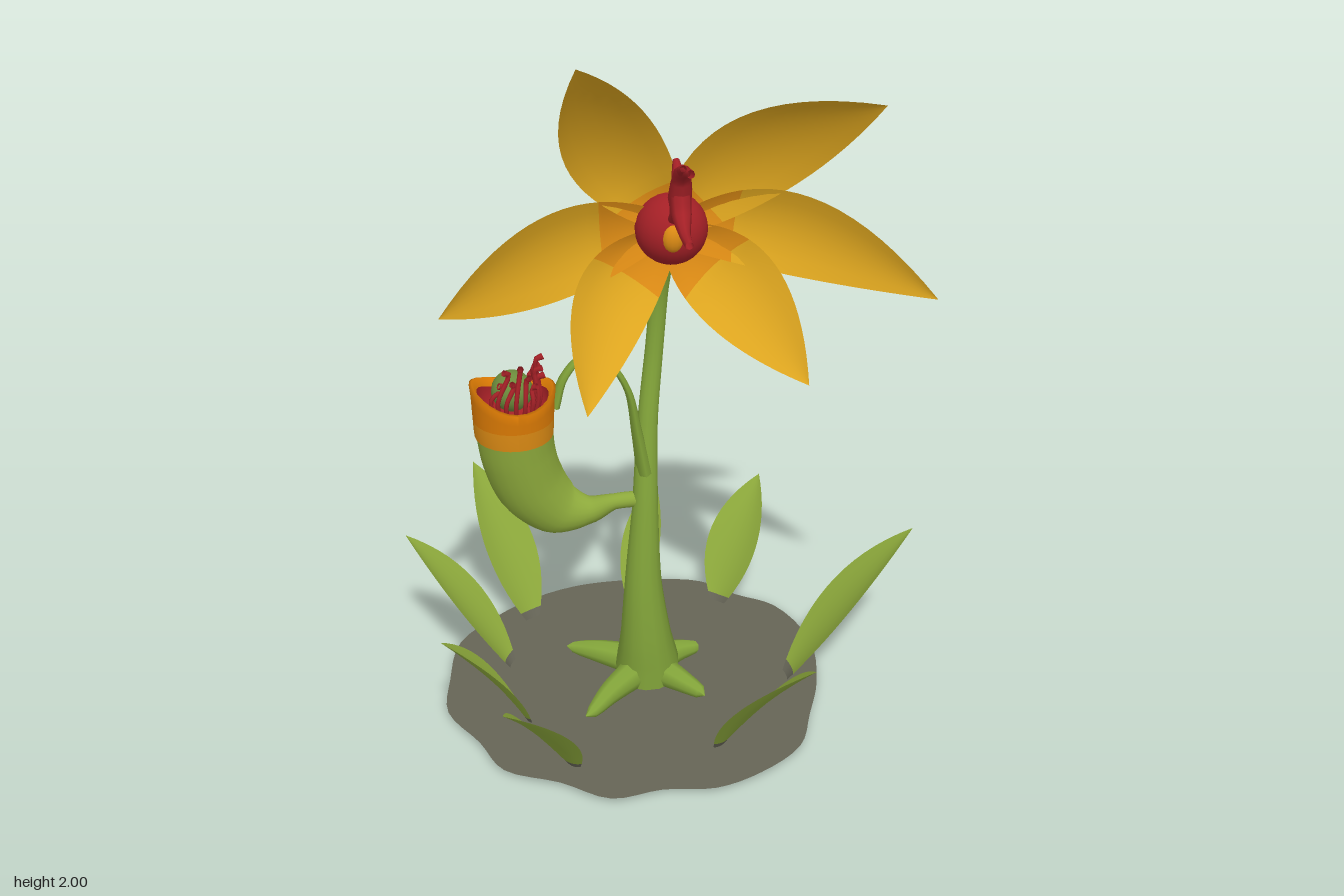
import * as THREE from 'three';

const mat = (name, color) => {
  const m = new THREE.MeshStandardMaterial({ color, side: THREE.DoubleSide });
  m.name = name;
  return m;
};
const V = (p) => new THREE.Vector3(...p);

export function createModel() {
  const model = new THREE.Group();
  model.name = 'pitcherFlower';
  const yellow = mat('petalYellow', 0xdea61f);
  const orange = mat('rimOrange', 0xde7c04);
  const amber = mat('amber', 0xdb8a14);
  const red = mat('deepRed', 0xa42026);
  const stemGreen = mat('stemGreen', 0x83a53a);
  const leafGreen = mat('leafGreen', 0x8ca83b);
  const budGreen = mat('budGreen', 0x6c8c3c);
  const earth = mat('earthGrey', 0x656456);

  const add = (name, geometry, material, parent = model) => {
    const mesh = new THREE.Mesh(geometry, material);
    mesh.name = name;
    parent.add(mesh);
    return mesh;
  };
  const group = (name) => {
    const g = new THREE.Group();
    g.name = name;
    model.add(g);
    return g;
  };

  // Tube along a curve, with one radius per control point
  const taperedTube = (points, radii, segments = 24, sides = 12) => {
    const curve = new THREE.CatmullRomCurve3(points.map(V));
    const geo = new THREE.TubeGeometry(curve, segments, 1, sides);
    const pos = geo.attributes.position, v = new THREE.Vector3();
    for (let i = 0; i <= segments; i++) {
      const t = curve.getUtoTmapping(i / segments) * (radii.length - 1);
      const k = Math.min(Math.floor(t), radii.length - 2);
      const r = THREE.MathUtils.lerp(radii[k], radii[k + 1], t - k);
      const c = curve.getPointAt(i / segments);
      for (let j = 0; j <= sides; j++) {
        const n = i * (sides + 1) + j;
        v.fromBufferAttribute(pos, n).sub(c).multiplyScalar(r).add(c);
        pos.setXYZ(n, v.x, v.y, v.z);
      }
    }
    return geo;
  };

  // Pointed blade between two points; bow bends the midrib, cup lifts the edges
  const blade = ({ base, tip, side, half, bow, cup, root, t0 = 0, t1 = 1 }) => {
    const rows = 14, cols = 6, pts = [], index = [];
    for (let i = 0; i <= rows; i++) {
      const t = t0 + (t1 - t0) * i / rows;
      const w = half * (1 - t) * (root + (4 - 2 * root) * t);
      for (let j = 0; j <= cols; j++) {
        const u = j / cols * 2 - 1;
        const p = base.clone().lerp(tip, t)
          .addScaledVector(bow, 4 * t * (1 - t))
          .addScaledVector(side, u * w)
          .addScaledVector(cup, u * u * w / half);
        pts.push(p.x, p.y, p.z);
        if (i < rows && j < cols) {
          const a = i * (cols + 1) + j, b = a + cols + 1;
          index.push(a, a + 1, b, a + 1, b + 1, b);
        }
      }
    }
    const geo = new THREE.BufferGeometry();
    geo.setAttribute('position', new THREE.Float32BufferAttribute(pts, 3));
    geo.setIndex(index);
    geo.computeVertexNormals();
    return geo;
  };

  // Uneven patch of ground
  const outline = [[-0.15, -0.51], [0.05, -0.5], [0.2, -0.46], [0.29, -0.37], [0.39, -0.29], [0.45, -0.1],
    [0.42, 0.1], [0.36, 0.25], [0.3, 0.38], [0.17, 0.47], [0.04, 0.51], [-0.1, 0.49], [-0.24, 0.5],
    [-0.36, 0.41], [-0.5, 0.33], [-0.55, 0.2], [-0.62, 0.05], [-0.6, -0.1], [-0.55, -0.28], [-0.42, -0.4], [-0.3, -0.47]];
  const edge = new THREE.CatmullRomCurve3(outline.map(([x, z]) => new THREE.Vector3(x, -z, 0)), true);
  const patch = new THREE.Shape(edge.getPoints(84).map((p) => new THREE.Vector2(p.x, p.y)));
  const ground = add('ground', new THREE.ShapeGeometry(patch), earth);
  ground.rotation.x = -Math.PI / 2;
  ground.position.y = 0.01;

  // Stem bending forward at the top, closed at the foot
  add('stem', taperedTube(
    [[-0.045, 0, -0.03], [-0.045, 0.06, -0.028], [-0.05, 0.15, -0.025], [-0.055, 0.32, -0.03], [-0.045, 0.55, -0.05],
      [-0.03, 0.8, -0.085], [-0.008, 1.0, -0.107], [0.006, 1.18, -0.1], [0.01, 1.28, -0.066], [0.005, 1.35, -0.005]],
    [0.085, 0.09, 0.072, 0.052, 0.036, 0.028, 0.025, 0.024, 0.026, 0.028], 48, 14), stemGreen);
  const foot = add('stemFoot', new THREE.CircleGeometry(0.085, 14), stemGreen);
  foot.rotation.x = Math.PI / 2;
  foot.position.set(-0.045, 0.001, -0.03);

  // Blunt roots
  const roots = group('roots');
  for (const [x, z] of [[-0.25, -0.19], [0.12, -0.12], [-0.25, 0.15], [0.09, 0.12]]) {
    add('root', taperedTube([[-0.045, 0.045, -0.03], [x * 0.6 - 0.02, 0.035, z * 0.6 - 0.012],
      [x * 0.92, 0.022, z * 0.92], [x, 0.018, z]], [0.05, 0.032, 0.018, 0.002], 12, 8), stemGreen, roots);
  }

  // Ground leaves with earthy feet: base x, z, tip x, y, z, half width
  const leaves = group('leaves');
  for (const [bx, bz, x, y, z, half] of [
    [-0.33, -0.36, -0.46, 0.42, -0.61, 0.08], [-0.02, -0.38, 0.08, 0.33, -0.56, 0.058],
    [0.23, -0.34, 0.39, 0.34, -0.51, 0.08], [0.34, 0.065, 0.69, 0.46, 0.06, 0.083],
    [0.09, 0.34, 0.27, 0.42, 0.61, 0.084], [-0.32, 0.35, -0.52, 0.36, 0.56, 0.078],
    [-0.41, 0.13, -0.64, 0.35, 0.2, 0.064], [-0.42, -0.14, -0.69, 0.4, -0.27, 0.074]]) {
    const base = V([bx, 0.012, bz]), tip = V([x, y, z]);
    const side = V([z - bz, 0, bx - x]).normalize();
    const up = tip.clone().sub(base).cross(side).normalize();
    if (up.y < 0) up.negate();
    const form = { base, tip, side, half, root: 0.3,
      bow: up.clone().multiplyScalar(0.015), cup: up.clone().multiplyScalar(0.02) };
    add('leafFoot', blade({ ...form, t1: 0.05 }), earth, leaves);
    add('leaf', blade({ ...form, t0: 0.05 }), leafGreen, leaves);
  }

  // Hanging pitcher: curved body, banded rim, red lining
  const pitcher = group('pitcher');
  add('pitcherBody', taperedTube(
    [[-0.05, 0.575, -0.055], [-0.13, 0.57, -0.06], [-0.2, 0.55, -0.065], [-0.285, 0.575, -0.06],
      [-0.355, 0.66, -0.045], [-0.39, 0.77, -0.032], [-0.4, 0.86, -0.025]],
    [0.022, 0.022, 0.04, 0.078, 0.095, 0.1, 0.103], 36, 20), leafGreen, pitcher);
  const band = (name, profile, material) => {
    const geo = new THREE.LatheGeometry(profile.map(([r, y]) => new THREE.Vector2(r, y)), 28);
    const p = geo.attributes.position;
    for (let i = 0; i < p.count; i++) { // wavy mouth
      const x = p.getX(i), z = p.getZ(i), r2 = x * x + z * z;
      if (p.getY(i) > 0.92 && r2 > 1e-6) p.setY(i, p.getY(i) + 0.018 * (x * x - z * z) / r2 - 0.08 * x);
    }
    geo.computeVertexNormals();
    add(name, geo, material, pitcher).position.set(-0.4, 0, -0.023);
  };
  band('lowerBand', [[0.104, 0.835], [0.106, 0.86], [0.107, 0.885]], amber);
  band('rim', [[0.107, 0.885], [0.11, 0.93], [0.113, 0.96], [0.106, 0.963], [0.094, 0.94]], orange);
  band('lining', [[0.094, 0.94], [0.09, 0.88], [0.0001, 0.87]], red);

  // Bud and stamens inside the mouth
  const bud = add('bud', new THREE.SphereGeometry(0.055, 16, 12), budGreen, pitcher);
  bud.position.set(-0.4, 0.955, -0.035);
  for (let i = 0; i < 11; i++) {
    const a = -0.9 + i * 0.36, c = Math.cos(a), s = Math.sin(a), h = 0.98 + 0.06 * ((i * 7) % 5) / 4;
    add('stamen', taperedTube([[-0.395 + 0.055 * c, 0.88, -0.03 + 0.055 * s], [-0.395 + 0.07 * c, 0.95, -0.03 + 0.07 * s],
      [-0.38 + 0.045 * c, h, -0.025 + 0.045 * s], [-0.38 + 0.065 * c, h + 0.008, -0.025 + 0.055 * s]],
    [0.006, 0.006, 0.007, 0.009], 10, 6), red, pitcher);
  }

  // Flat arching tendril from the stem to the pitcher mouth
  const tendril = add('tendril', taperedTube(
    [[-0.045, 0.66, -0.05], [-0.065, 0.78, -0.045], [-0.095, 0.93, -0.037], [-0.15, 1.015, -0.035],
      [-0.215, 1.03, -0.035], [-0.262, 0.98, -0.035], [-0.288, 0.9, -0.035]],
    [0.022, 0.015, 0.009, 0.008, 0.008, 0.01, 0.014], 32, 8), stemGreen, pitcher);
  tendril.scale.z = 2;
  tendril.position.z = 0.035;

  // Flower: calyx, heart and six petals
  const flower = group('flower');
  add('calyx', taperedTube([[0.005, 1.345, -0.02], [-0.002, 1.39, 0.03], [-0.01, 1.44, 0.085]],
    [0.03, 0.048, 0.064], 8, 18), yellow, flower);
  add('flowerThroat', taperedTube([[-0.01, 1.44, 0.085], [-0.015, 1.465, 0.13], [-0.02, 1.48, 0.18]],
    [0.064, 0.078, 0.088], 8, 18), red, flower);
  add('flowerHeart', new THREE.SphereGeometry(0.09, 24, 16), red, flower).position.set(-0.02, 1.48, 0.185);
  const eye = add('heartTip', new THREE.SphereGeometry(0.028, 14, 10), amber, flower);
  eye.position.set(-0.03, 1.485, 0.26);
  eye.scale.set(1, 1.3, 0.8);

  // Petals: tip x, y, z, half width, sideways bend, share of amber at the base
  const centre = V([-0.025, 1.48, 0.165]);
  for (const [x, y, z, half, bend, share] of [
    [-0.29, 2.0, 0.47, 0.112, 0.025, 0.1], [0.42, 1.87, 0.48, 0.115, 0.015, 0.1], [0.55, 1.4, 0.54, 0.104, 0.035, 0.21],
    [0.26, 1.17, 0.48, 0.11, 0.015, 0.28], [-0.28, 1.14, 0.48, 0.102, -0.03, 0.28], [-0.62, 1.44, 0.5, 0.112, 0, 0.22]]) {
    const tip = V([x, y, z]);
    const dir = V([x - centre.x, y - centre.y, 0]).normalize();
    const side = V([-dir.y, dir.x, 0]);
    const bow = side.clone().multiplyScalar(bend).add(V([0, 0, -(z - 0.165) * 0.25]));
    const base = centre.clone().addScaledVector(dir, 0.05);
    const form = { base, tip, side, half, bow, cup: V([0, 0, 0.03]), root: 0.55 };
    add('petalBase', blade({ ...form, t1: share }), amber, flower);
    add('petal', blade({ ...form, t0: share }), yellow, flower);
  }

  // Forked stigma rising from the heart
  const stigma = group('stigma');
  for (const [points, radii] of [
    [[[-0.03, 1.53, 0.25], [-0.03, 1.58, 0.31], [-0.03, 1.63, 0.34], [-0.03, 1.69, 0.36], [-0.03, 1.715, 0.41], [-0.03, 1.73, 0.46]],
      [0.012, 0.018, 0.03, 0.022, 0.012, 0.01]],
    [[[-0.03, 1.65, 0.34], [-0.032, 1.59, 0.37], [-0.035, 1.565, 0.42], [-0.035, 1.56, 0.475]], [0.026, 0.024, 0.014, 0.01]],
    [[[-0.03, 1.63, 0.35], [-0.03, 1.67, 0.32], [-0.03, 1.7, 0.29]], [0.024, 0.017, 0.008]],
    [[[-0.03, 1.7, 0.38], [-0.045, 1.725, 0.42], [-0.045, 1.74, 0.45]], [0.012, 0.01, 0.008]]]) {
    add('stigmaBranch', taperedTube(points, radii, 14, 8), red, stigma);
  }
  return model;
}
